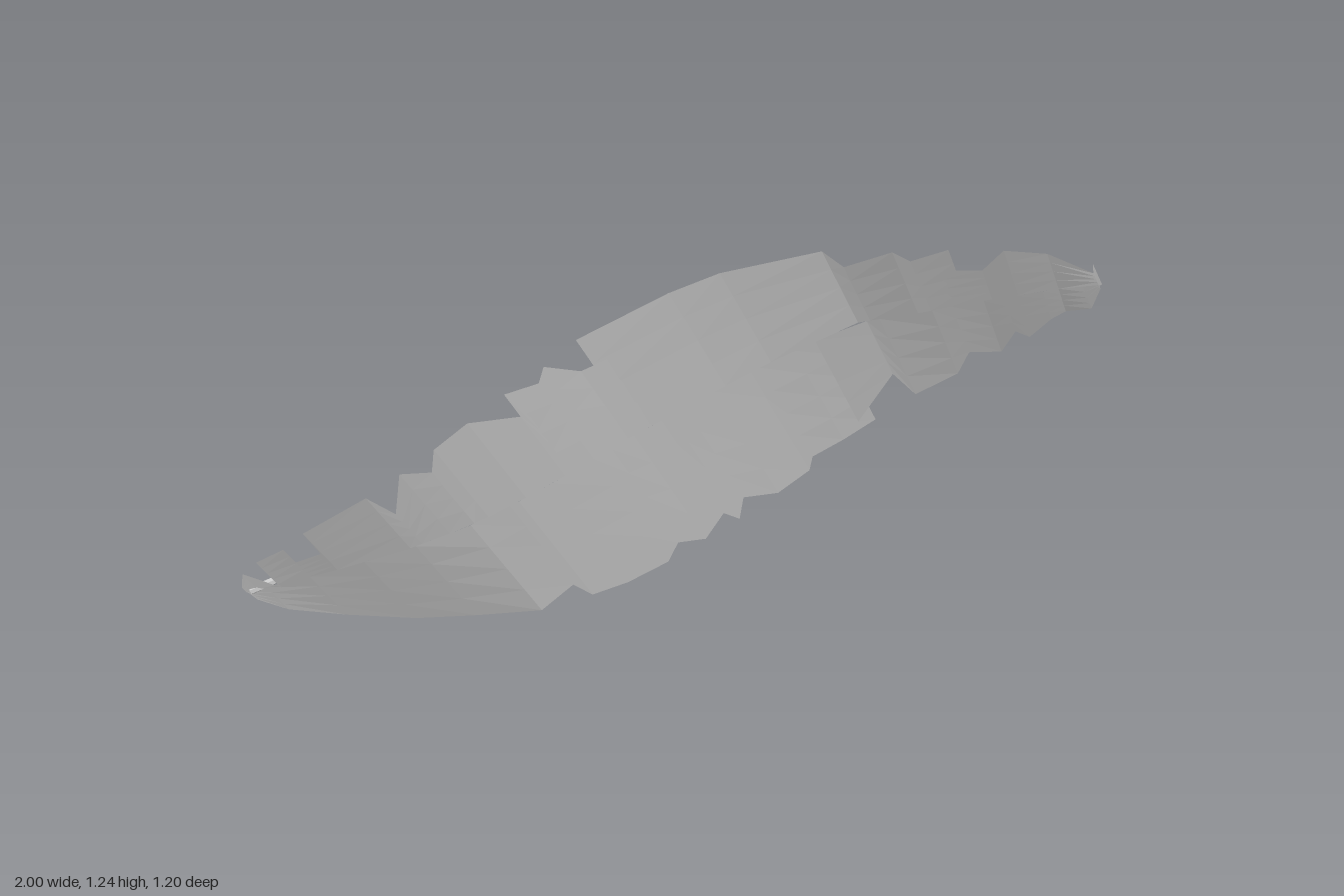
import * as THREE from 'three';

// Jagged edges of the two vanes as x, y pairs, from the quill end to the tip
const UPPER = [-1, .12, -1, .18, -.9, .13, -.97, .24, -.91, .31, -.88, .25, -.82, .3, -.87, .39, -.73, .54, -.65, .47,
  -.65, .62, -.57, .62, -.57, .7, -.49, .78, -.33, .78, -.4, .86, -.31, .88, -.3, .93, -.2, .9, -.13, .93, -.22, 1,
  0, 1.12, .12, 1.17, .36, 1.22, .42, 1.17, .5, 1.23, .55, 1.2, .62, 1.24, .62, 1.17, .72, 1.17, .74, 1.24, .84, 1.23,
  .96, 1.17, .95, 1.2, .99, 1.12, 1, 1.05];
const LOWER = [-1, .12, -.96, .07, -.88, .03, -.73, .01, -.55, 0, -.4, .02, -.24, .05, -.16, .14, -.1, .09, 0, .12,
  .11, .18, .13, .25, .21, .25, .25, .34, .3, .31, .3, .39, .4, .39, .48, .46, .48, .51, .56, .56, .64, .62, .59, .62,
  .64, .79, .72, .71, .8, .79, .8, .87, .88, .87, .88, .95, .92, .93, .94, 1, .96, 1.03, 1, 1.05];

// Middle line, edge depths and edge positions across the feather, as [u, value]
const MIDDLE_V = [[-1.1, .08], [.6, .07], [1.12, -.05]];
const UPPER_Z = [[-1.1, 0], [-.85, .115], [-.66, .165], [-.44, .165], [-.33, .155], [-.21, .135], [.02, .08],
  [.35, .03], [.63, .015], [.75, .06], [1, .1], [1.12, .11]];
const LOWER_Z = [[-1.1, 0], [-.82, .04], [-.49, .1], [-.35, .08], [.1, 0], [.34, -.04], [.56, -.07], [.67, -.06],
  [.89, -.015], [1.05, .05], [1.12, .11]];
const UPPER_V = [[-1.1, .16], [-.85, .28], [-.6, .37], [-.21, .43], [.02, .456], [.3, .41], [.63, .346], [.86, .23], [1.12, .07]];
const LOWER_V = [[-1.1, 0], [-.82, -.205], [-.49, -.35], [-.35, -.385], [.11, -.395], [.34, -.36], [.67, -.28], [.89, -.22], [1.12, -.15]];

// u runs along the feather, v across it
const CA = .857, SA = .515;

function lookUp(table, u) {
  if (u <= table[0][0]) return table[0][1];
  for (let i = 1; i < table.length; i++) {
    const [a, p] = table[i - 1], [b, q] = table[i];
    if (u <= b) return p + (q - p) * (u - a) / (b - a);
  }
  return table[table.length - 1][1];
}

function point(u, v, offset) {
  return [CA * u - SA * v, .6 + SA * u + CA * v, -.061 + .488 * u + offset];
}

// The sheet is straight across and twists along its length
function sheetPoint(u, v) {
  const low = lookUp(LOWER_V, u), t = (v - low) / (lookUp(UPPER_V, u) - low);
  return point(u, v, THREE.MathUtils.lerp(lookUp(LOWER_Z, u), lookUp(UPPER_Z, u), t));
}

// One vane: a thin sheet lofted from the middle line to the jagged edge
function vane(outline, flip, material, name) {
  const steps = 4, count = outline.length / 2, positions = [], index = [];
  for (let i = 0; i < count; i++) {
    const x = outline[2 * i], y = outline[2 * i + 1] - .6;
    const u = CA * x + SA * y, v = CA * y - SA * x, v0 = lookUp(MIDDLE_V, u);
    for (let j = 0; j <= steps; j++) positions.push(...sheetPoint(u, v0 + (v - v0) * j / steps));
  }
  for (let i = 0; i < count - 1; i++) {
    for (let j = 0; j < steps; j++) {
      const a = i * (steps + 1) + j, b = a + steps + 1;
      if (flip) index.push(a, b + 1, b, a, a + 1, b + 1);
      else index.push(a, b, b + 1, a, b + 1, a + 1);
    }
  }
  const geometry = new THREE.BufferGeometry();
  geometry.setAttribute('position', new THREE.Float32BufferAttribute(positions, 3));
  geometry.setIndex(index);
  geometry.computeVertexNormals();
  const mesh = new THREE.Mesh(geometry, material);
  mesh.name = name;
  return mesh;
}

// Tapered rod between two points
function rod(from, to, r0, r1, material, name) {
  const a = new THREE.Vector3(...from), b = new THREE.Vector3(...to);
  const mesh = new THREE.Mesh(new THREE.CylinderGeometry(r1, r0, a.distanceTo(b), 6), material);
  mesh.position.copy(a).add(b).multiplyScalar(.5);
  mesh.quaternion.setFromUnitVectors(new THREE.Vector3(0, 1, 0), b.sub(a).normalize());
  mesh.name = name;
  return mesh;
}

export function createModel() {
  const group = new THREE.Group();
  group.name = 'feather';
  const material = new THREE.MeshStandardMaterial({ color: 0xcccccc, flatShading: true, side: THREE.DoubleSide });

  group.add(vane(UPPER, false, material, 'upperVane'));
  group.add(vane(LOWER, true, material, 'lowerVane'));

  // Straight quill behind the curved sheet
  group.add(rod(point(-1.09, .08, 0), point(.25, .07, 0), .012, .006, material, 'quill'));
  return group;
}
